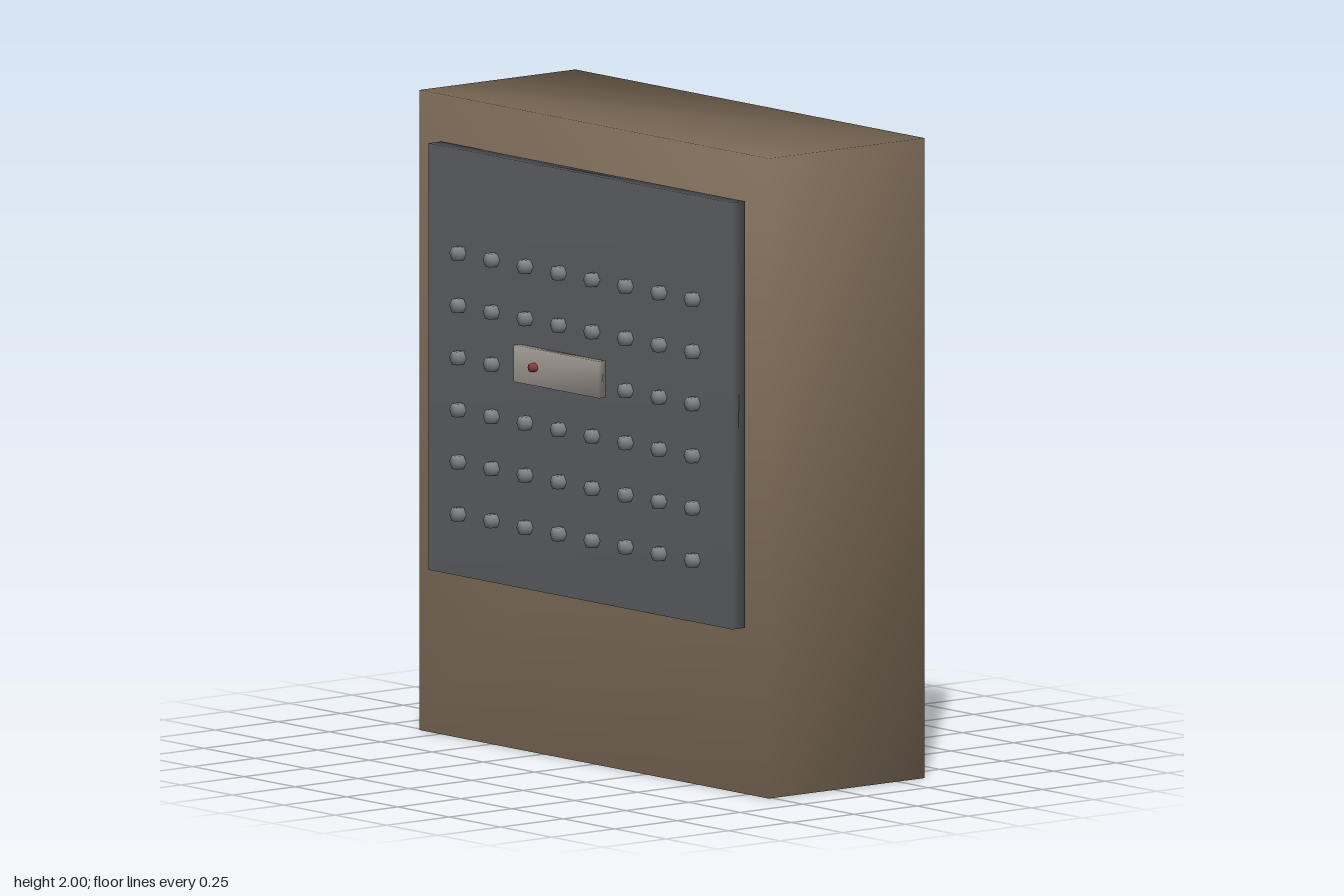
import * as THREE from 'three';
import { mergeVertices } from 'three/addons/utils/BufferGeometryUtils.js';

const paint = (color) => new THREE.MeshStandardMaterial({ color });

// Weld corners so that normals are shared and shading runs smoothly over the edges
function weld(geometry) {
  geometry.deleteAttribute('normal');
  geometry.deleteAttribute('uv');
  const welded = mergeVertices(geometry, 1e-4);
  welded.computeVertexNormals();
  return welded;
}

// Box between two corners; the back face can be inset sideways by `taper`
function block(name, [x0, y0, z0], [x1, y1, z1], material, taper = 0) {
  const geometry = new THREE.BoxGeometry(x1 - x0, y1 - y0, z1 - z0);
  const p = geometry.attributes.position;
  for (let i = 0; i < p.count; i++) {
    if (p.getZ(i) < 0) p.setX(i, p.getX(i) - Math.sign(p.getX(i)) * taper);
  }
  const mesh = new THREE.Mesh(weld(geometry), material);
  mesh.position.set((x0 + x1) / 2, (y0 + y1) / 2, (z0 + z1) / 2);
  mesh.name = name;
  return mesh;
}

// Small post pointing forwards, from z0 to z1, with a corner on each side
function postGeometry(radius, z0, z1, sides) {
  return weld(new THREE.CylinderGeometry(radius, radius, z1 - z0, sides)
    .rotateY(Math.PI / 2).rotateX(Math.PI / 2).translate(0, 0, (z0 + z1) / 2));
}

export function createModel() {
  const model = new THREE.Group();
  model.name = 'controlCabinet';
  const dark = paint(0x5f6165);

  // Cabinet, front panel and name plate
  model.add(
    block('cabinet', [-0.85, 0, -0.357], [0.85, 2, 0.263], paint(0x8e7a64)),
    block('frontPanel', [-0.74, 0.52, 0.268], [0.74, 1.853, 0.318], dark),
    block('plate', [-0.255, 1.175, 0.348], [0.16, 1.29, 0.376], paint(0xa59e96)),
  );

  // Grid of knobs
  const knobs = new THREE.Group();
  knobs.name = 'knobs';
  const knobGeometry = postGeometry(0.024, 0.31, 0.346, 6);
  const knobMaterial = paint(0x85888b);
  for (let row = 0; row < 6; row++) {
    for (let col = 0; col < 8; col++) {
      const knob = new THREE.Mesh(knobGeometry, knobMaterial);
      knob.name = 'knob';
      knob.position.set(-0.58 + col * 0.163, 0.715 + row * 0.163, 0);
      knobs.add(knob);
    }
  }
  model.add(knobs);

  // Indicator lamp on the plate
  const lamp = new THREE.Mesh(postGeometry(0.014, 0.37, 0.394, 8), paint(0x8c3f3f));
  lamp.name = 'lamp';
  lamp.position.set(-0.15, 1.233, 0);
  model.add(lamp);

  // Rear hatch and tapered rear bar
  model.add(
    block('rearHatch', [0.05, 1.118, -0.384], [0.625, 1.53, -0.35], dark),
    block('rearBar', [-0.521, 0.41, -0.395], [-0.437, 1.077, -0.357], paint(0x8b9296), 0.022),
  );
  return model;
}
